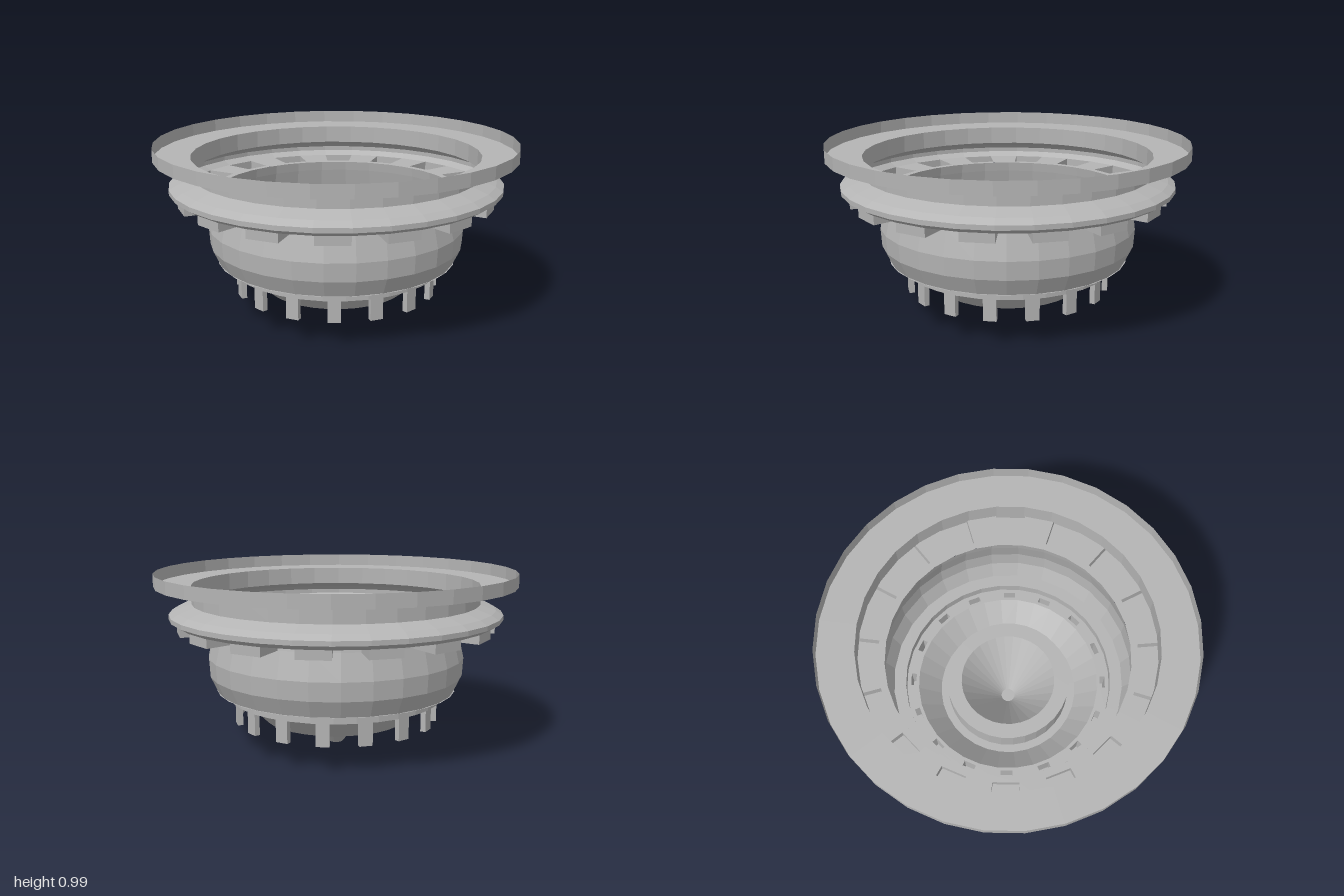
import * as THREE from 'three';

const STEP = Math.PI / 16; // one side of the 32-sided rings
// point at angle a, measured from the back towards the model's left
const polar = (r, a) => new THREE.Vector2(r * Math.sin(a), -r * Math.cos(a));

export function createModel() {
  const group = new THREE.Group();
  group.name = 'strainerBasket';
  const metal = new THREE.MeshStandardMaterial({ color: 0xb4b4b4, side: THREE.DoubleSide, flatShading: true });
  metal.name = 'grey metal';

  const add = (name, geometry) => {
    const mesh = new THREE.Mesh(geometry, metal);
    mesh.name = name;
    group.add(mesh);
  };
  const turned = (name, points, sides = 32, start = 0) =>
    add(name, new THREE.LatheGeometry(points.map(p => new THREE.Vector2(...p)), sides, start));

  // flat ring at height y, pierced by the given four-cornered holes
  const piercedRing = (name, inner, outer, y, holes) => {
    const circle = r => Array.from({ length: 32 }, (_, i) => polar(r, i * STEP));
    const shape = new THREE.Shape(circle(outer));
    shape.holes.push(new THREE.Path(circle(inner)), ...holes.map(h => new THREE.Path(h)));
    add(name, new THREE.ShapeGeometry(shape).rotateX(Math.PI / 2).translate(0, y, 0));
  };

  // open-topped cup hanging below a hole: four walls and a floor
  const cup = (name, corners, top, bottom) => {
    const pos = [];
    for (const y of [top, bottom]) for (const c of corners) pos.push(c.x, y, c.y);
    const index = [4, 5, 6, 4, 6, 7];
    for (let i = 0; i < 4; i++) {
      const j = (i + 1) % 4;
      index.push(i, j, j + 4, i, j + 4, i + 4);
    }
    const g = new THREE.BufferGeometry();
    g.setAttribute('position', new THREE.Float32BufferAttribute(pos, 3));
    g.setIndex(index);
    g.computeVertexNormals();
    add(name, g);
  };

  // upper rim, neck and rounded bead
  turned('rim', [[0.8, 0.92], [1, 0.92], [1, 0.99]]);
  turned('neckAndBead', [[0.885, 0.715], [0.925, 0.74], [0.925, 0.765], [0.885, 0.79], [0.8, 0.82], [0.8, 0.92]]);

  // bulging bowl wall
  turned('bowlWall', [[0.67, 0.33], [0.712, 0.42], [0.718, 0.52], [0.685, 0.66], [0.675, 0.715]], 28, Math.PI / 28);
  turned('bowlStep', [[0.6, 0.275], [0.6, 0.33], [0.675, 0.33]]);

  // sloping base, raised centre and funnel down to the closed tip
  turned('baseSlope', [[0.405, 0.15], [0.53, 0.275]]);
  turned('centreCollar', [[0.275, 0.3], [0.36, 0.3], [0.36, 0.15], [0.405, 0.15]]);
  turned('funnel', [[0, 0], [0.04, 0], [0.275, 0.3]]);

  // sixteen shelf pockets and sixteen hanging tabs
  const pockets = [], tabs = [];
  for (let i = 0; i < 16; i++) {
    const a = 2 * i * STEP, b = a + STEP;
    pockets.push([polar(0.71, a), polar(0.882, a), polar(0.882, b), polar(0.71, b)]);
    const mid = a + STEP / 2, side = polar(0.035, mid + Math.PI / 2);
    const near = polar(0.545, mid), far = polar(0.575, mid);
    tabs.push([near.clone().sub(side), far.clone().sub(side), far.clone().add(side), near.clone().add(side)]);
  }
  piercedRing('shelf', 0.672, 0.885, 0.715, pockets);
  pockets.forEach(c => cup('shelfPocket', c, 0.715, 0.665));
  piercedRing('lowerLedge', 0.53, 0.6, 0.275, tabs);
  tabs.forEach(c => cup('hangingTab', c, 0.275, 0.145));

  return group;
}
